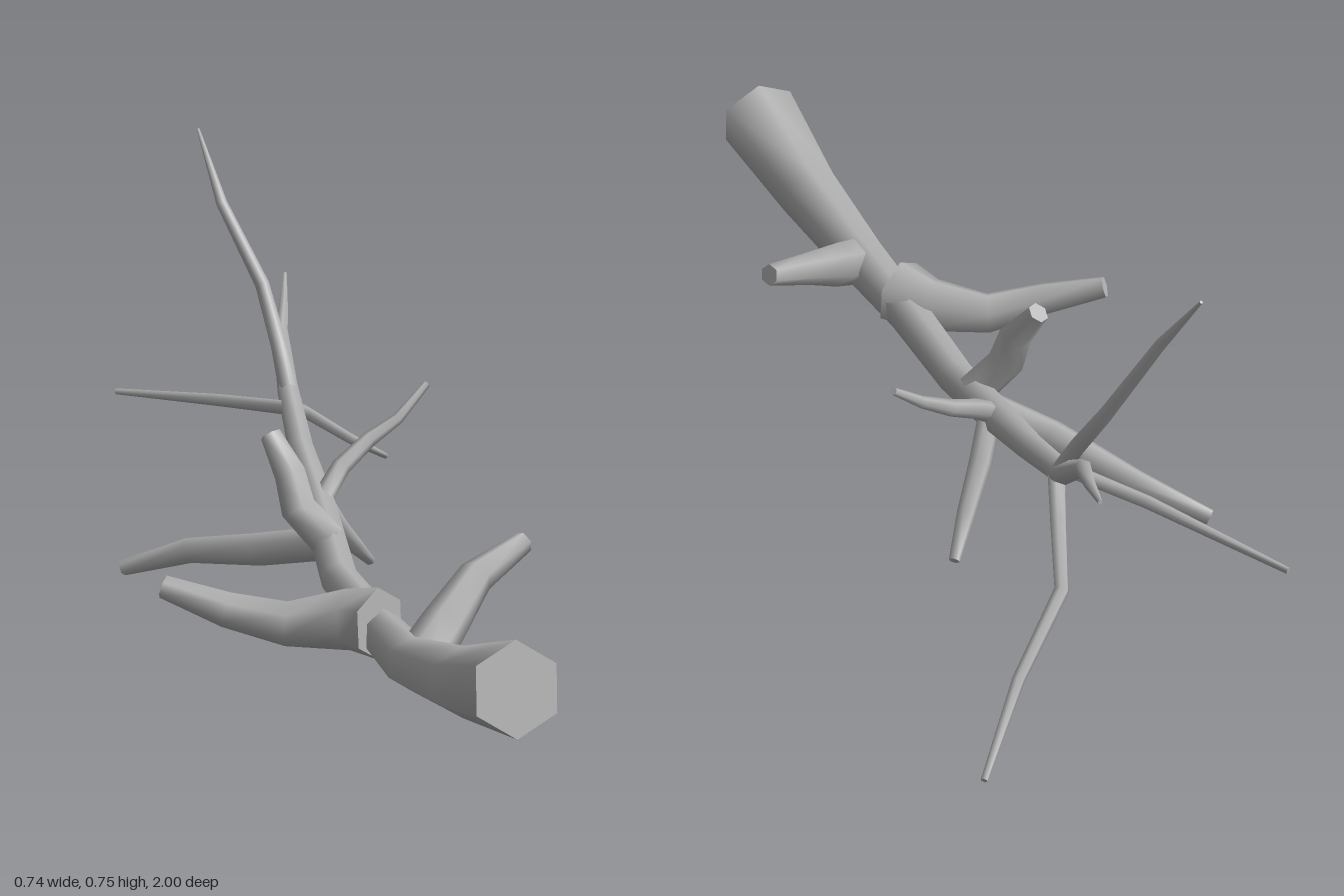
import * as THREE from 'three';

const SIDES = 6;

// Tapered limb: each point is [x, y, z, radius]; rings are carried along the bends, ends are flat.
function limbGeometry(points) {
  const centers = points.map(([x, y, z]) => new THREE.Vector3(x, y, z));
  const n = points.length;
  const pos = [], index = [];
  const normal = new THREE.Vector3();
  centers.forEach((c, i) => {
    const tangent = centers[Math.min(i + 1, n - 1)].clone().sub(centers[Math.max(i - 1, 0)]).normalize();
    if (i === 0) normal.set(0, 1, 0.01);
    normal.addScaledVector(tangent, -normal.dot(tangent)).normalize();
    const side = new THREE.Vector3().crossVectors(tangent, normal);
    for (let s = 0; s < SIDES; s++) {
      const a = (s / SIDES) * Math.PI * 2 + 0.1;
      const p = c.clone()
        .addScaledVector(normal, Math.cos(a) * points[i][3])
        .addScaledVector(side, Math.sin(a) * points[i][3]);
      pos.push(p.x, p.y, p.z);
    }
  });
  for (let i = 0; i < n - 1; i++) {
    for (let s = 0; s < SIDES; s++) {
      const a = i * SIDES + s, b = i * SIDES + (s + 1) % SIDES;
      index.push(a, b, a + SIDES, b, b + SIDES, a + SIDES);
    }
  }
  // Separate cap rings keep the cut ends sharp
  const ring = SIDES * 3;
  const first = pos.slice(0, ring), last = pos.slice(-ring);
  const base = n * SIDES;
  pos.push(...first, ...last);
  for (let s = 1; s < SIDES - 1; s++) {
    index.push(base, base + s + 1, base + s);
    index.push(base + SIDES, base + SIDES + s, base + SIDES + s + 1);
  }
  const g = new THREE.BufferGeometry();
  g.setAttribute('position', new THREE.Float32BufferAttribute(pos, 3));
  g.setIndex(index);
  g.computeVertexNormals();
  return g;
}

const LIMBS = {
  mainStem: [
    [0.037, 0.305, 0.975, 0.08], [0.015, 0.232, 0.75, 0.06], [-0.01, 0.182, 0.53, 0.047],
    [-0.015, 0.172, 0.3, 0.038], [-0.01, 0.16, 0.05, 0.034], [0.015, 0.208, -0.18, 0.032],
    [0.035, 0.252, -0.4, 0.025], [0.06, 0.308, -0.6, 0.021],
    [0.077, 0.383, -0.72, 0.015], [0.105, 0.405, -0.81, 0.01], [0.138, 0.438, -0.925, 0.004],
  ],
  // Front pair of stubs
  frontLeftBranch: [
    [-0.01, 0.172, 0.54, 0.045], [0.065, 0.215, 0.46, 0.042],
    [0.15, 0.265, 0.37, 0.032], [0.255, 0.298, 0.31, 0.02],
  ],
  frontRightBranch: [
    [-0.02, 0.19, 0.36, 0.065], [-0.06, 0.18, 0.3, 0.055], [-0.16, 0.165, 0.255, 0.04],
    [-0.26, 0.19, 0.225, 0.032], [-0.36, 0.222, 0.168, 0.021],
  ],
  // Middle group
  middleUpperBranch: [
    [0, 0.19, -0.065, 0.035], [-0.05, 0.25, -0.09, 0.034],
    [-0.06, 0.31, -0.11, 0.03], [-0.085, 0.373, -0.155, 0.02],
  ],
  middleRightBranch: [
    [0.01, 0.18, -0.08, 0.032], [-0.1, 0.138, -0.19, 0.031],
    [-0.2, 0.095, -0.33, 0.024], [-0.31, 0.042, -0.41, 0.015],
  ],
  middleLeftTwig: [
    [0.02, 0.215, -0.2, 0.02], [0.075, 0.262, -0.255, 0.018],
    [0.14, 0.297, -0.295, 0.015], [0.2, 0.328, -0.31, 0.011], [0.266, 0.38, -0.345, 0.007],
  ],
  middleLowerTwig: [
    [0.025, 0.215, -0.2, 0.022], [0.065, 0.15, -0.25, 0.021],
    [0.115, 0.085, -0.305, 0.017], [0.16, 0.03, -0.36, 0.01],
  ],
  // Thin twigs at the rear fork
  rearUpperTwig: [
    [0.058, 0.3, -0.58, 0.018], [0.055, 0.38, -0.645, 0.016], [0.043, 0.48, -0.73, 0.014],
    [-0.02, 0.63, -0.8, 0.011], [-0.041, 0.753, -0.905, 0.003],
  ],
  rearRightTwig: [
    [0.05, 0.29, -0.53, 0.014], [-0.06, 0.268, -0.68, 0.012], [-0.212, 0.225, -0.91, 0.006],
  ],
  rearLeftTwig: [
    [0.055, 0.295, -0.56, 0.017], [0.09, 0.245, -0.65, 0.015], [0.14, 0.195, -0.78, 0.013],
    [0.255, 0.1, -0.87, 0.011], [0.367, 0.009, -0.995, 0.006],
  ],
};

export function createModel() {
  const bark = new THREE.MeshStandardMaterial({ color: 0xb0b0b0 });
  bark.name = 'greyBark';
  const group = new THREE.Group();
  group.name = 'branch';
  for (const [name, points] of Object.entries(LIMBS)) {
    const mesh = new THREE.Mesh(limbGeometry(points), bark);
    mesh.name = name;
    group.add(mesh);
  }
  return group;
}
